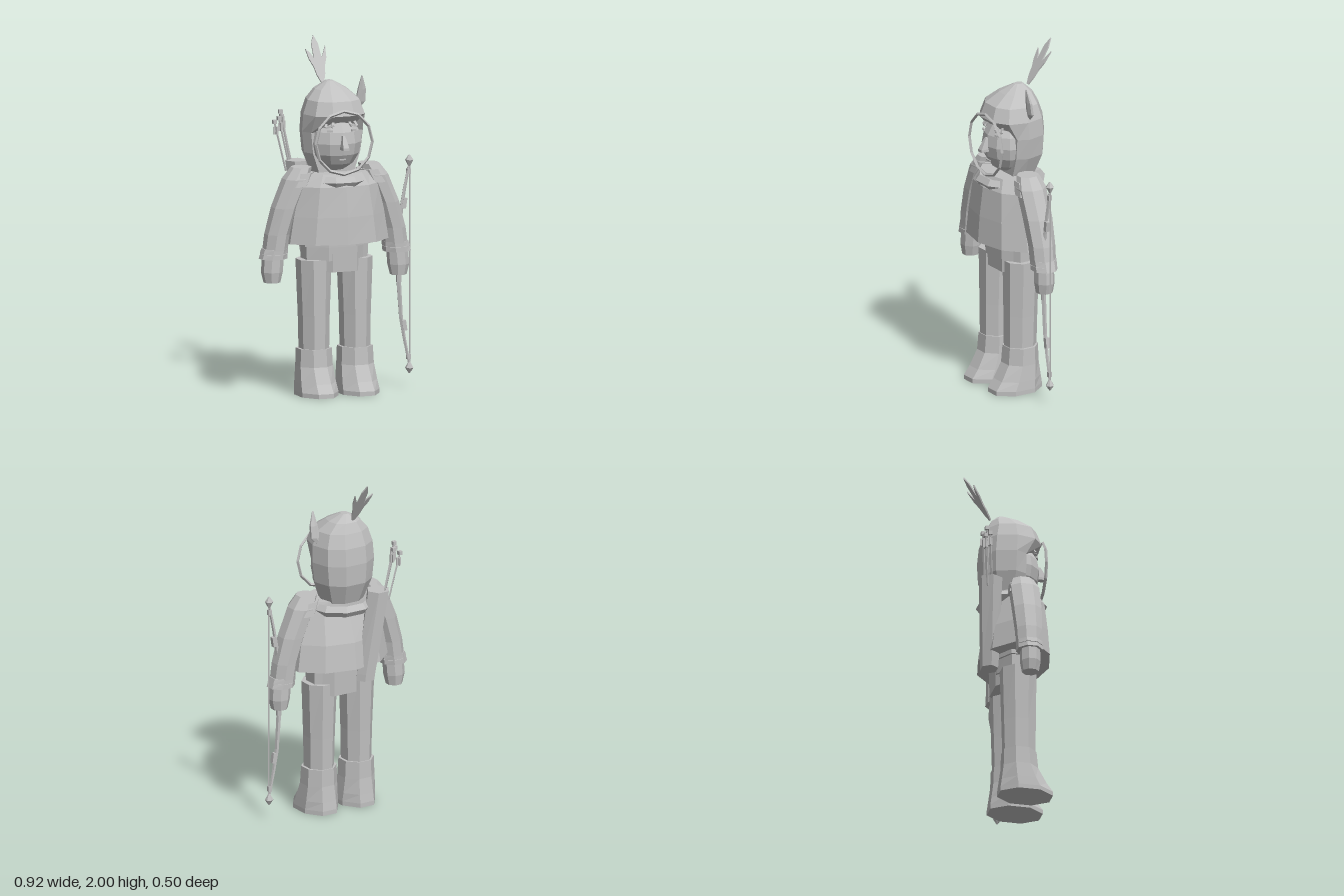
import * as THREE from 'three';

const clay = new THREE.MeshStandardMaterial({ color: 0xc0c0c0, flatShading: true, side: THREE.DoubleSide });
clay.name = 'light grey';

// Capped skin through horizontal sections [cx, y, cz, rx, rz], listed from the bottom up.
function loft(rings, n = 8, phase = 0, power = 1) {
  const dirs = [];
  const bend = (v) => Math.sign(v) * Math.abs(v) ** power;
  for (let i = 0; i < n; i++) {
    const a = ((i + phase) / n) * Math.PI * 2;
    dirs.push([bend(Math.sin(a)), bend(Math.cos(a))]);
  }
  const mx = Math.max(...dirs.map((d) => Math.abs(d[0])));
  const mz = Math.max(...dirs.map((d) => Math.abs(d[1])));
  const pos = [], idx = [];
  for (const [cx, y, cz, rx, rz] of rings)
    for (const [dx, dz] of dirs) pos.push(cx + (dx / mx) * rx, y, cz + (dz / mz) * rz);
  const last = (rings.length - 1) * n;
  for (let r = 0; r < last; r += n)
    for (let i = 0; i < n; i++) {
      const j = (i + 1) % n;
      idx.push(r + i, r + j, r + n + j, r + i, r + n + j, r + n + i);
    }
  for (let i = 1; i < n - 1; i++) idx.push(0, i + 1, i, last, last + i, last + i + 1);
  const g = new THREE.BufferGeometry();
  g.setAttribute('position', new THREE.Float32BufferAttribute(pos, 3));
  g.setIndex(idx);
  g.computeVertexNormals();
  return g;
}

export function createModel() {
  const model = new THREE.Group();
  const add = (name, geo, x = 0, y = 0, z = 0) => {
    const m = new THREE.Mesh(geo, clay);
    m.name = name;
    m.position.set(x, y, z);
    model.add(m);
    return m;
  };
  const box = (name, w, h, d, x, y, z) => add(name, new THREE.BoxGeometry(w, h, d), x, y, z);
  // Rod between two points
  const rod = (name, a, b, r0, r1, sides = 5) => {
    const p = new THREE.Vector3(...a), q = new THREE.Vector3(...b);
    const dir = q.clone().sub(p);
    const m = add(name, new THREE.CylinderGeometry(r1, r0, dir.length(), sides));
    m.position.copy(p).add(q).multiplyScalar(0.5);
    m.quaternion.setFromUnitVectors(new THREE.Vector3(0, 1, 0), dir.normalize());
    return m;
  };

  // Legs and boots
  for (const s of [-1, 1]) {
    const c = s * 0.125 - 0.012;
    add('leg', loft([
      [c, 0.22, 0.048, 0.078, 0.088], [c, 0.45, 0.046, 0.082, 0.092], [c, 0.775, 0.043, 0.094, 0.098],
    ], 8, 0.5));
    add('boot', loft([
      [c, 0, 0.083, 0.11, 0.152], [c, 0.025, 0.083, 0.11, 0.152], [c, 0.075, 0.068, 0.106, 0.13],
      [c, 0.165, 0.05, 0.098, 0.1], [c, 0.265, 0.047, 0.094, 0.094],
    ], 8, 0.5));
  }

  // Hips, belt and tunic flap
  add('hips', loft([[-0.01, 0.77, 0.04, 0.185, 0.11], [-0.01, 0.9, 0.04, 0.19, 0.115]], 8, 0.5));
  add('belt', loft([[-0.01, 0.85, 0.04, 0.2, 0.125], [-0.01, 0.875, 0.04, 0.2, 0.125]], 8, 0.5));
  add('tunicFlap', loft([[0.01, 0.705, 0.04, 0.135, 0.11], [0.01, 0.87, 0.04, 0.14, 0.115]], 8, 0.5, 0.7));

  // Cape and its rolled collar
  add('cape', loft([
    [-0.008, 0.875, 0.047, 0.3, 0.206], [-0.008, 1.03, 0.052, 0.275, 0.19],
    [-0.008, 1.2, 0.07, 0.24, 0.15], [-0.008, 1.27, 0.055, 0.19, 0.13],
  ], 10, 0));
  const collar = add('collar', new THREE.TorusGeometry(0.168, 0.034, 5, 10), -0.01, 1.225, 0.035);
  collar.rotation.x = Math.PI / 2;

  // Sleeves, cuffs and hands
  for (const s of [-1, 1]) {
    const side = (rings, n) => loft(rings.map(([x, ...r]) => [s * x - 0.01, ...r]), n, 0.5);
    add('sleeve', side([
      [0.365, 0.84, 0.05, 0.066, 0.07], [0.352, 0.93, 0.05, 0.066, 0.073], [0.308, 1.08, 0.05, 0.069, 0.08],
      [0.24, 1.24, 0.05, 0.07, 0.082], [0.205, 1.305, 0.05, 0.055, 0.06],
    ], 8));
    add('shoulderFold', side([[0.24, 1.2, 0.05, 0.072, 0.088], [0.205, 1.275, 0.05, 0.066, 0.075]], 8));
    for (const [x, y, r] of [[0.377, 0.79, 0.076], [0.372, 0.82, 0.074]])
      add('cuff', side([[x, y, 0.05, r, 0.07], [x - 0.006, y + 0.028, 0.05, r - 0.004, 0.07]], 8));
    add('hand', side([
      [0.385, 0.655, 0.053, 0.044, 0.045], [0.385, 0.715, 0.053, 0.058, 0.054], [0.378, 0.8, 0.053, 0.058, 0.052],
    ], 8));
  }

  // Hood, flattened behind the face so the brow overhangs
  const hood = loft([
    [-0.013, 1.26, 0.02, 0.125, 0.12], [-0.013, 1.38, 0.02, 0.172, 0.165], [-0.013, 1.5, 0.022, 0.186, 0.172],
    [-0.013, 1.6, 0.027, 0.18, 0.167], [-0.014, 1.68, 0.025, 0.152, 0.14],
    [-0.015, 1.735, -0.003, 0.095, 0.088], [-0.015, 1.777, -0.022, 0.02, 0.026],
  ], 10, 0.5, 0.85);
  const hp = hood.attributes.position;
  for (let i = 0; i < hp.count; i++)
    if (hp.getY(i) < 1.59) hp.setZ(i, Math.min(hp.getZ(i), 0.085));
  add('hood', hood);
  const rim = add('hoodRim', new THREE.TorusGeometry(0.172, 0.009, 4, 12), -0.013, 1.45, 0.197);
  rim.scale.set(1, 1.05, 1);

  // Face with nose, mouth, eyes, brows and strands of fringe
  add('face', new THREE.SphereGeometry(1, 12, 8), -0.013, 1.44, 0.045).scale.set(0.155, 0.17, 0.15);
  add('nose', loft([
    [-0.015, 1.41, 0.205, 0.018, 0.03], [-0.015, 1.425, 0.205, 0.018, 0.03], [-0.015, 1.49, 0.19, 0.007, 0.01],
  ], 4, 0.5));
  box('mouth', 0.04, 0.007, 0.008, -0.015, 1.352, 0.178);
  for (const s of [-1, 1]) {
    const x = s * 0.072 - 0.013;
    box('eye', 0.034, 0.012, 0.009, x, 1.515, 0.165).rotation.y = s * 0.4;
    const brow = box('brow', 0.05, 0.009, 0.009, x, 1.54, 0.16);
    brow.rotation.set(0, s * 0.4, -s * 0.25);
    for (const k of [0, 1]) {
      const lock = box('fringe', 0.014, 0.06, 0.008, s * (0.05 + k * 0.035) - 0.013, 1.56, 0.152 - k * 0.012);
      lock.rotation.set(-0.5, 0, s * 0.4);
    }
  }

  // Leaf on the left of the hood
  add('hoodLeaf', loft([
    [0.125, 1.59, 0.005, 0.008, 0.006], [0.16, 1.65, 0.012, 0.028, 0.015],
    [0.165, 1.72, 0.022, 0.023, 0.014], [0.16, 1.8, 0.038, 0.004, 0.003],
  ], 6));

  // Three-pointed plume leaning back
  const plume = new THREE.Shape([
    [-0.008, 0], [-0.026, 0.05], [-0.034, 0.1], [-0.052, 0.145], [-0.062, 0.21], [-0.036, 0.18], [-0.022, 0.15],
    [-0.019, 0.24], [0.002, 0.292], [0.02, 0.24], [0.024, 0.15], [0.04, 0.18], [0.061, 0.225],
    [0.053, 0.15], [0.034, 0.1], [0.025, 0.05], [0.008, 0],
  ].map((p) => new THREE.Vector2(...p)));
  add('plume', new THREE.ExtrudeGeometry(plume, { depth: 0.008, bevelEnabled: false }), -0.026, 1.75, -0.096)
    .rotation.x = -0.555;

  // Quiver on the back with arrows
  add('quiver', loft([
    [-0.095, 0.79, -0.115, 0.06, 0.045], [-0.1, 0.83, -0.115, 0.062, 0.047],
    [-0.175, 1.315, -0.125, 0.067, 0.06],
  ], 6, 0.5));
  for (const [x, y, z] of [[-0.255, 1.59, -0.165], [-0.285, 1.53, -0.18], [-0.27, 1.555, -0.15], [-0.24, 1.56, -0.185]]) {
    rod('arrowShaft', [x + 0.06, 1.25, z + 0.025], [x, y, z], 0.006, 0.006, 4);
    box('arrowNock', 0.022, 0.022, 0.022, x, y, z);
    box('fletching', 0.03, 0.045, 0.006, x + 0.01, y - 0.05, z);
    box('fletching', 0.006, 0.045, 0.03, x + 0.01, y - 0.05, z);
  }

  // Bow held in the left hand
  const z = 0.058, mid = 0.71;
  rod('bowString', [0.443, mid - 0.57, z], [0.443, mid + 0.57, z], 0.005, 0.005, 4);
  rod('bowGrip', [0.375, mid - 0.1, z], [0.375, mid + 0.1, z], 0.016, 0.016, 6);
  for (const s of [-1, 1]) {
    const pts = [[0.375, 0.1], [0.388, 0.3], [0.408, 0.42], [0.437, 0.56]];
    for (let i = 0; i < 3; i++)
      rod('bowLimb', [pts[i][0], mid + s * pts[i][1], z], [pts[i + 1][0], mid + s * pts[i + 1][1], z],
        0.014 - i * 0.002, 0.012 - i * 0.002);
    box('bowBinding', 0.024, 0.06, 0.024, 0.408, mid + s * 0.35, z).rotation.z = -s * 0.15;
    box('bowBinding', 0.02, 0.03, 0.022, 0.436, mid + s * 0.53, z);
    rod('bowTip', [0.44, mid + s * 0.595, z], [0.44, mid + s * 0.625, z], 0.024, 0.004, 6);
    rod('bowTip', [0.44, mid + s * 0.56, z], [0.44, mid + s * 0.595, z], 0.006, 0.024, 6);
  }
  return model;
}
